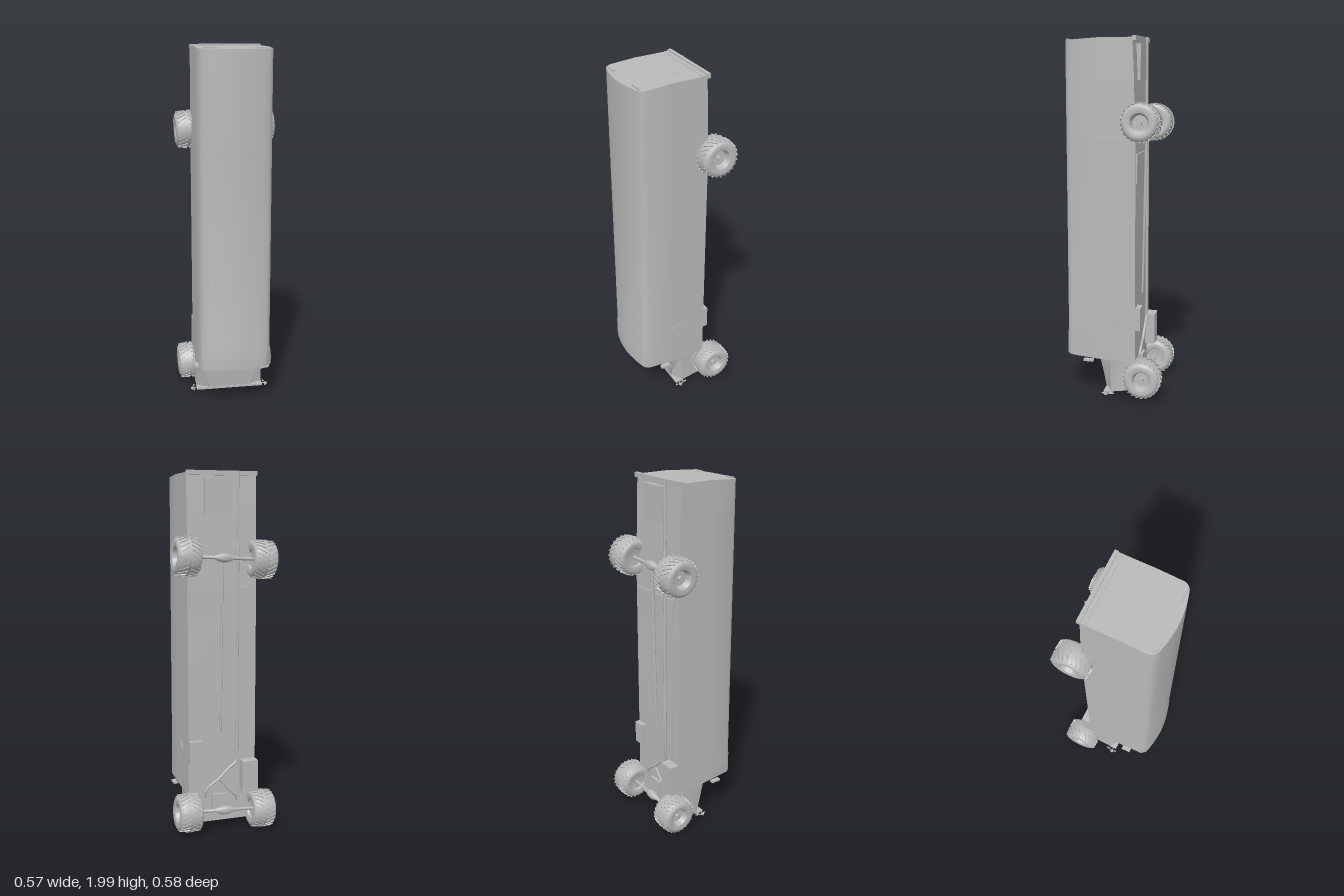
import * as THREE from 'three';
import { mergeGeometries, toCreasedNormals } from 'three/addons/utils/BufferGeometryUtils.js';

const grey = new THREE.MeshStandardMaterial({ color: 0xb8b8b8 });
grey.name = 'plain grey';

function add(parent, name, geometry, x = 0, y = 0, z = 0) {
  const mesh = new THREE.Mesh(geometry, grey);
  mesh.name = name;
  mesh.position.set(x, y, z);
  parent.add(mesh);
  return mesh;
}

// box given by its limits on each axis
function block(parent, name, x0, x1, y0, y1, z0, z1) {
  return add(parent, name, new THREE.BoxGeometry(x1 - x0, y1 - y0, z1 - z0),
    (x0 + x1) / 2, (y0 + y1) / 2, (z0 + z1) / 2);
}

function tube(parent, name, points, radius, segments = 24) {
  const path = new THREE.CatmullRomCurve3(points.map(p => new THREE.Vector3(...p)), false, 'catmullrom', 0.1);
  return add(parent, name, new THREE.TubeGeometry(path, segments, radius, 8));
}

// skin through rings of [x, y, z] (ordered from +z towards +x), closed with end fans
function loft(rings, capZ, capY) {
  const n = rings[0].length, pos = [], index = [];
  rings.forEach(r => r.forEach(p => pos.push(...p)));
  for (let k = 0; k < rings.length - 1; k++)
    for (let i = 0; i < n; i++) {
      const a = k * n + i, b = k * n + (i + 1) % n;
      index.push(a, b, b + n, a, b + n, a + n);
    }
  const c = rings.length * n, last = c - n;
  pos.push(0, capY[0], capZ, 0, capY[1], capZ);
  for (let i = 0; i < n; i++) {
    const j = (i + 1) % n;
    index.push(c, j, i, c + 1, last + i, last + j);
  }
  const g = new THREE.BufferGeometry();
  g.setAttribute('position', new THREE.Float32BufferAttribute(pos, 3));
  g.setIndex(index);
  return toCreasedNormals(g, 0.5);
}

// half outline [x, z] completed by its mirror image
const mirrored = half => [...half, ...half.filter(p => p[0] > 0).reverse().map(([x, z]) => [-x, z])];

function makeBody(group) {
  const outline = mirrored([[0, 0.285], [0.05, 0.282], [0.1, 0.275], [0.145, 0.265], [0.172, 0.257],
    [0.187, 0.245], [0.197, 0.225], [0.197, 0.08], [0.197, -0.13]]);
  const front = z => 0.212 + Math.max(0, z) * 0.09;
  const rear = z => 1.99 - Math.max(0, z - 0.08) * 0.07;
  const ring = (yOf, bulge, under) => outline.map(([x, z]) =>
    [x, yOf(z), z > 0.2 ? z + bulge : z < 0 ? under : z]);
  const rings = [ring(front, 0.004, -0.132), ring(() => 0.35, 0.004, -0.132), ring(() => 0.37, 0, -0.132),
    ring(() => 1.45, 0, -0.13), ring(() => 1.8, 0, -0.12), ring(rear, 0, -0.112)];
  add(group, 'body', loft(rings, 0.08, [front(0.08), rear(0.08)]));

  // cab with slanted windscreen under the overhang
  const cabRing = (side, frontX, frontZ, yOf) =>
    mirrored([[frontX, frontZ], [0.195, side], [0.195, -0.132]]).map(([x, z]) => [x, yOf(z), z]);
  const nose = z => (z > 0 ? 0.028 : 0.05);
  add(group, 'cab', loft([cabRing(0.004, 0.12, 0.046, nose), cabRing(0.016, 0.178, 0.072, () => 0.235)],
    0, [0.035, 0.235]));
  block(group, 'frontLip', -0.195, 0.195, 0.018, 0.03, 0, 0.05);
  for (const s of [-1, 1]) {
    const pillar = tube(group, 'windscreenPillar', [[s * 0.176, 0.225, 0.068], [s * 0.12, 0.028, 0.044]], 0.006, 1);
    pillar.scale.set(1, 1, 1);
  }

  // rear lip, rear panel and marker lamps
  block(group, 'rearLip', -0.198, 0.198, 1.975, 2, -0.13, -0.11);
  block(group, 'rearPanel', -0.196, 0.196, 1.985, 1.993, -0.11, -0.085);
  for (const s of [-1, 1]) {
    block(group, 'rearMarkerLamp', s * 0.135 - 0.035, s * 0.135 + 0.035, 1.97, 1.985, 0.24, 0.252);
    block(group, 'frontMarkerLamp', s * 0.135 - 0.035, s * 0.135 + 0.035, 0.225, 0.245, 0.24, 0.252);
    for (let i = 0; i < 5; i++)
      add(group, 'rearStud', new THREE.CylinderGeometry(0.003, 0.003, 0.004, 8), s * (0.08 + i * 0.018), 1.991, 0);
    // side plates beneath the overhang
    block(group, 'sidePlate', s * 0.208 - 0.012, s * 0.208 + 0.012, 0.207, 0.219, 0.104, 0.16);
    // wheel arches
    for (const [y, z] of [[1.54, -0.13], [0.13, -0.135]]) {
      const shape = new THREE.Shape();
      shape.absarc(0, 0, 0.09, 0, Math.PI);
      const arch = add(group, 'wheelArch',
        new THREE.ExtrudeGeometry(shape, { depth: 0.005, bevelEnabled: false, curveSegments: 24 }), s * 0.197 - 0.0025, y, z);
      arch.rotation.set(Math.PI / 2, Math.PI / 2, 0, 'XYZ');
    }
  }

  // round filler cover on the left side
  const cover = add(group, 'fillerCover', new THREE.CylinderGeometry(0.047, 0.047, 0.004, 12), 0.198, 0.445, 0.035);
  cover.rotation.z = Math.PI / 2;
  block(group, 'coverLatch', 0.196, 0.202, 0.388, 0.4, 0.03, 0.04);
}

function makeMirror(group, s) {
  const mirror = new THREE.Group();
  mirror.name = 'sideMirror';
  tube(mirror, 'longArm', [[s * 0.206, 0.026, -0.02 + 0.038], [s * 0.208, 0.024, -0.018], [s * 0.219, 0.022, 0.027]], 0.0025, 8);
  tube(mirror, 'shortArm', [[s * 0.194, 0.026, 0.03], [s * 0.219, 0.022, 0.032]], 0.0025, 4);
  add(mirror, 'mirrorHead', new THREE.CylinderGeometry(0.011, 0.011, 0.006, 6), s * 0.219, 0.022, 0.031);
  add(mirror, 'smallMirror', new THREE.SphereGeometry(0.007, 10, 8), s * 0.211, 0.022, 0.05).scale.set(0.7, 0.6, 1.2);
  group.add(mirror);
}

function makeUnderside(group) {
  block(group, 'rearHatch', -0.06, 0.1, 1.77, 1.96, -0.137, -0.11);
  block(group, 'middleHatch', -0.155, 0.185, 1.22, 1.38, -0.138, -0.125);
  block(group, 'leftTank', 0.125, 0.197, 0.4, 0.53, -0.16, -0.12);
  block(group, 'rightTank', -0.197, -0.105, 0.22, 0.4, -0.187, -0.12);
  block(group, 'gearboxPlate', -0.025, 0.06, 0.12, 0.21, -0.147, -0.12);

  // exhaust with forked front end, and drive shaft
  const fork = [0.02, 0.3, -0.143];
  tube(group, 'exhaust', [[-0.085, 2, -0.136], [-0.085, 1.65, -0.136], [-0.085, 1.55, -0.145], [-0.085, 1.4, -0.142],
    [-0.085, 0.42, -0.142], [-0.075, 0.385, -0.142], [-0.03, 0.35, -0.143], fork], 0.008, 80);
  tube(group, 'leftExhaustBranch', [fork, [0.08, 0.26, -0.142], [0.1, 0.23, -0.14], [0.1, 0.19, -0.13]], 0.007);
  tube(group, 'rightExhaustBranch', [fork, [-0.03, 0.24, -0.142], [-0.08, 0.19, -0.14], [-0.085, 0.16, -0.13]], 0.007);
  const shaft = add(group, 'driveShaft', new THREE.CylinderGeometry(0.009, 0.006, 0.96, 12), 0.01, 1.05, -0.146);
  shaft.rotation.x = -0.02;
}

// wheel turning about its own y axis, outer side at +y
function makeWheel() {
  const wheel = new THREE.Group();
  wheel.name = 'wheel';
  const profile = [[0, -0.045], [0.048, -0.05], [0.052, -0.06], [0.075, -0.068], [0.09, -0.063], [0.099, -0.05],
    [0.102, -0.02], [0.102, 0.02], [0.099, 0.05], [0.09, 0.063], [0.075, 0.068], [0.052, 0.062], [0.048, 0.056],
    [0.04, 0.03], [0, 0.03]].map(p => new THREE.Vector2(...p));
  add(wheel, 'tyre', toCreasedNormals(new THREE.LatheGeometry(profile, 40), 0.7));

  // chevron tread
  const lugs = [];
  for (const s of [-1, 1])
    for (let i = 0; i < 24; i++) {
      const lug = new THREE.BoxGeometry(0.007, 0.054, 0.006);
      lug.rotateX(s * 0.5);
      lug.rotateZ(s * 0.1);
      lug.translate(0.1015, s * 0.031, 0);
      lug.rotateY((i + (s > 0 ? 0.5 : 0)) * Math.PI / 12);
      lugs.push(lug);
    }
  add(wheel, 'tread', mergeGeometries(lugs));

  // hub and nuts
  add(wheel, 'hub', new THREE.CylinderGeometry(0.012, 0.014, 0.016, 16), 0, 0.038, 0);
  for (let i = 0; i < 8; i++) {
    const a = i * Math.PI / 4;
    add(wheel, 'wheelNut', new THREE.CylinderGeometry(0.004, 0.004, 0.008, 6), Math.cos(a) * 0.026, 0.033, Math.sin(a) * 0.026);
  }
  return wheel;
}

function makeAxle(name, y, z) {
  const axle = new THREE.Group();
  axle.name = name;
  const profile = [[0, -0.17], [0.009, -0.17], [0.009, -0.055], [0.016, -0.04], [0.024, -0.015], [0.024, 0.015],
    [0.016, 0.04], [0.009, 0.055], [0.009, 0.17], [0, 0.17]].map(p => new THREE.Vector2(...p));
  add(axle, 'axleBeam', toCreasedNormals(new THREE.LatheGeometry(profile, 16), 0.7)).rotation.z = -Math.PI / 2;
  for (const s of [-1, 1]) {
    const wheel = makeWheel();
    wheel.position.x = s * 0.214;
    wheel.rotation.z = -s * Math.PI / 2;
    axle.add(wheel);
  }
  axle.position.set(0, y, z);
  axle.rotation.z = 0.05;
  return axle;
}

export function createModel() {
  const model = new THREE.Group();
  model.name = 'motorhome';
  makeBody(model);
  makeUnderside(model);
  for (const s of [-1, 1]) makeMirror(model, s);
  model.add(makeAxle('rearAxle', 1.54, -0.163), makeAxle('frontAxle', 0.125, -0.18));
  return model;
}
